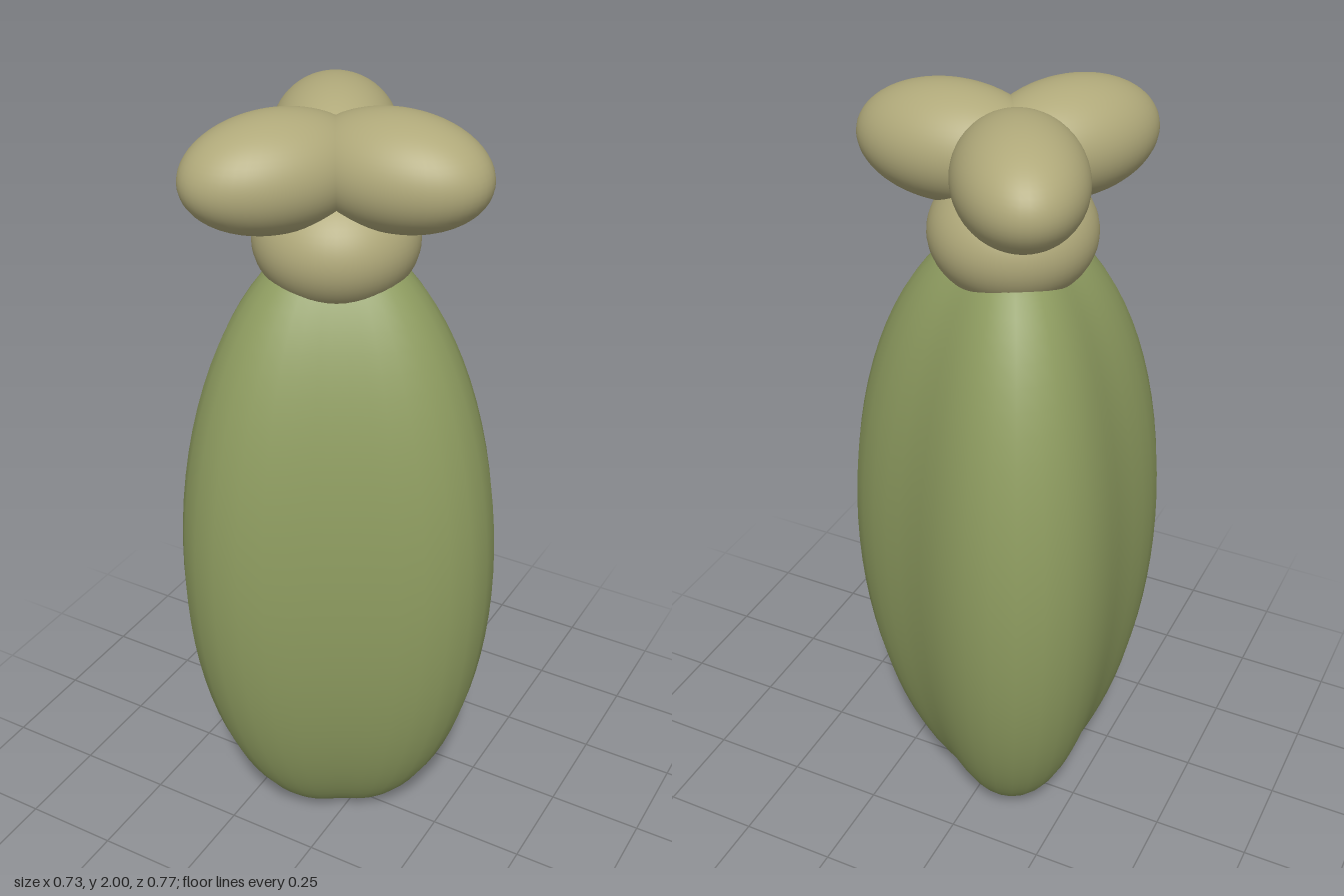
import * as THREE from 'three';
import { mergeVertices } from 'three/addons/utils/BufferGeometryUtils.js';

const AXIS_X = -0.05; // the stem axis sits slightly off the middle of the bounds

function ellipsoid(name, material, rx, ry, rz) {
  const mesh = new THREE.Mesh(new THREE.SphereGeometry(1, 48, 32), material);
  mesh.scale.set(rx, ry, rz);
  mesh.name = name;
  return mesh;
}

// Egg-shaped body whose radius swells into three rounded ribs
function lobedBody(radius, swell, halfHeight) {
  let geo = new THREE.SphereGeometry(1, 40, 40);
  const pos = geo.attributes.position;
  for (let i = 0; i < pos.count; i++) {
    const x = pos.getX(i), z = pos.getZ(i);
    const r = radius + swell * Math.cos(3 * Math.atan2(z, x));
    pos.setXYZ(i, x * r, pos.getY(i) * halfHeight, z * r);
  }
  // weld the seam so the shading is continuous
  geo.deleteAttribute('uv');
  geo.deleteAttribute('normal');
  geo = mergeVertices(geo, 1e-5);
  geo.computeVertexNormals();
  return geo;
}

export function createModel() {
  const green = new THREE.MeshStandardMaterial({ color: 0x8e9c60 });
  green.name = 'moss green';
  const cream = new THREE.MeshStandardMaterial({ color: 0xb0a97a });
  cream.name = 'pale straw';

  const model = new THREE.Group();
  model.name = 'pistil';
  const axis = new THREE.Group();
  axis.name = 'pistilAxis';
  axis.position.x = AXIS_X;
  model.add(axis);

  // Ribbed ovary
  const ovary = new THREE.Mesh(lobedBody(0.3625, 0.0525, 0.85), green);
  ovary.name = 'ovary';
  ovary.position.y = 0.85;
  axis.add(ovary);

  // Flattened neck between ovary and stigma
  const neck = ellipsoid('style', cream, 0.193, 0.153, 0.193);
  neck.position.y = 1.685;
  axis.add(neck);

  // Three stigma lobes, one above each rib
  for (let i = 0; i < 3; i++) {
    const arm = new THREE.Group();
    arm.name = 'stigmaArm' + (i + 1);
    arm.rotation.y = (i * Math.PI * 2) / 3;
    const lobe = ellipsoid('stigmaLobe' + (i + 1), cream, 0.225, 0.131, 0.148);
    lobe.position.set(0.15, 1.869, 0);
    arm.add(lobe);
    axis.add(arm);
  }
  return model;
}
